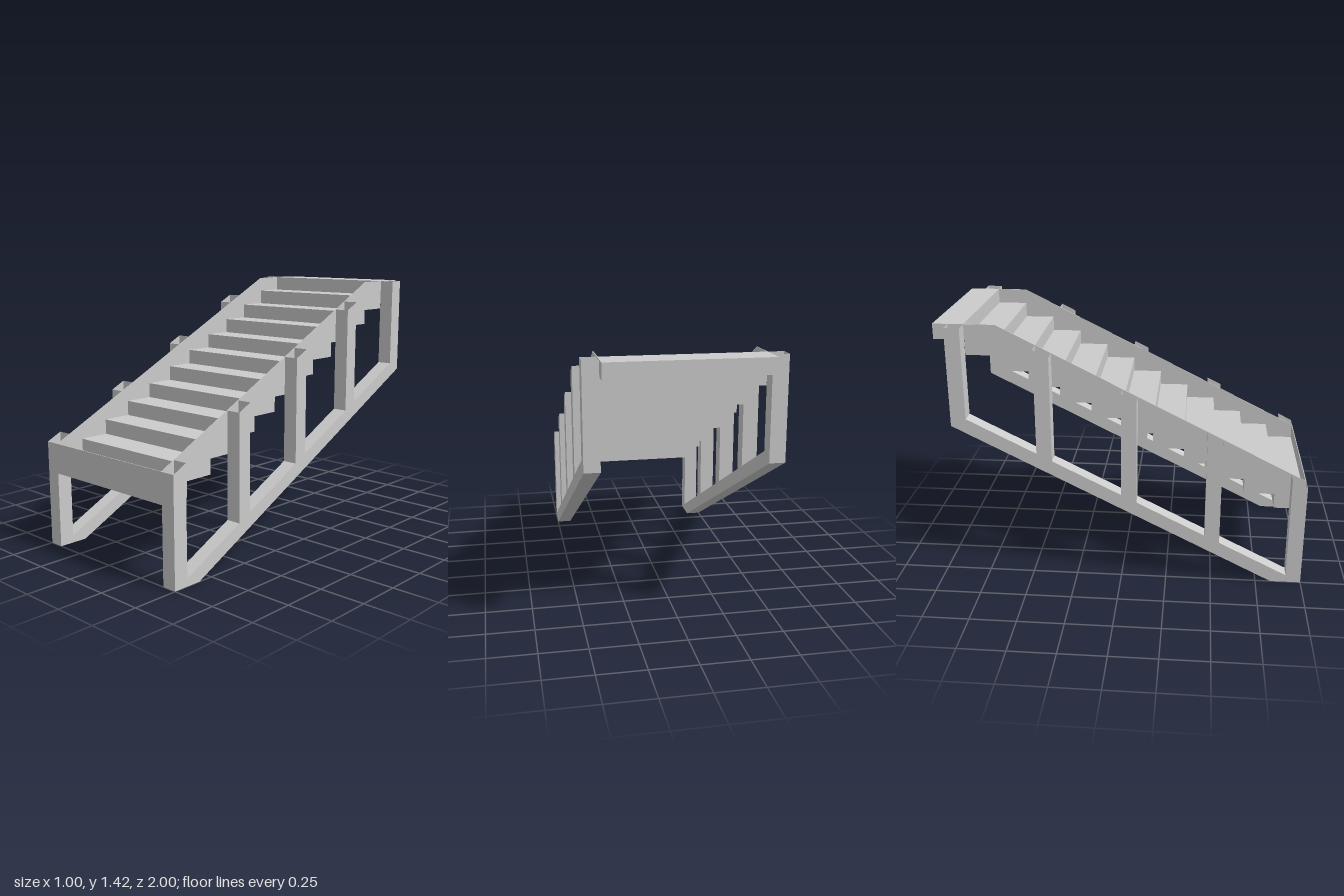
import * as THREE from 'three';

const STEPS = 12;
const RUN = 2 / STEPS;        // depth of one step
const RISE = RUN / 2;         // height of one step
const BASE = 0.417;           // underside of the lowest step
const TOP = 1.417;            // height of the highest step
const HALF = 0.417;           // half width of the stairs
const BEAM = 0.083;           // thickness of posts and rails
const PLATE = 0.004;          // thickness of the side and front plates

const material = new THREE.MeshStandardMaterial({ color: 0xcccccc, flatShading: true });
const openMaterial = material.clone();
openMaterial.side = THREE.DoubleSide;

// Extrudes a side profile of [z, y] points across x, from x0 over a width
function sidePrism(name, points, x0, width) {
  const shape = new THREE.Shape(points.map(([z, y]) => new THREE.Vector2(-z, y)));
  const geometry = new THREE.ExtrudeGeometry(shape, { depth: width, bevelEnabled: false });
  geometry.rotateY(Math.PI / 2).translate(x0, 0, 0);
  const mesh = new THREE.Mesh(geometry, material);
  mesh.name = name;
  return mesh;
}

// Box across the stairs, from its front z and lower y
function crossBox(name, z, y, depth, height) {
  const geometry = new THREE.BoxGeometry(2 * (HALF - PLATE), height, depth);
  const mesh = new THREE.Mesh(geometry, material);
  mesh.position.set(0, y + height / 2, z - depth / 2);
  mesh.name = name;
  return mesh;
}

// Heights of the side plates' upper edge and of the bottom rail's upper edge
const plateY = (z) => Math.min(TOP, 1.083 - z / 2);
const railY = (z) => 0.5 - z / 2;

// Square tube, open at the top, cut to the slopes of the stairs and the rail
function openPost(x, z) {
  const geometry = new THREE.CylinderGeometry(
    BEAM / Math.SQRT2, BEAM / Math.SQRT2, 1, 4, 1, true, Math.PI / 4);
  geometry.translate(x, 0, z);
  const p = geometry.attributes.position;
  for (let i = 0; i < p.count; i++) {
    p.setY(i, p.getY(i) > 0 ? plateY(p.getZ(i)) : railY(p.getZ(i)));
  }
  const mesh = new THREE.Mesh(geometry, openMaterial);
  mesh.name = 'post';
  return mesh;
}

export function createModel() {
  const model = new THREE.Group();
  model.name = 'staircase';

  // Slab steps, sunk between the side plates
  const plate = [[1, plateY(1)], [-1 + 2 * RUN, TOP], [-1, TOP]];
  for (let i = STEPS - 1; i >= 0; i--) {
    const z = 1 - i * RUN;
    const y = BASE + i * RISE;
    model.add(crossBox('step', z, y, RUN, RISE));
    plate.push([z - RUN, y], [z, y]);
  }

  // Front plate, rising above the lowest step
  model.add(crossBox('frontPlate', 1, BASE + RISE, PLATE, RISE));

  // Thin side plates: sloping upper edge, stepped lower edge
  model.add(sidePrism('leftSidePlate', plate, HALF - PLATE, PLATE));
  model.add(sidePrism('rightSidePlate', plate, -HALF, PLATE));

  // Side frames: five posts on a sloping bottom rail
  const back = BEAM - 1;
  const rail = [
    [1, 0], [1 - 2 * BEAM, 0], [back, railY(back) - BEAM], [back, railY(back)],
  ];
  for (const [side, x0] of [['left', HALF], ['right', -HALF - BEAM]]) {
    const frame = new THREE.Group();
    frame.name = side + 'Frame';
    frame.add(sidePrism('bottomRail', rail, x0, BEAM));
    for (let i = 0; i < 5; i++) {
      const z = 1 - BEAM / 2 - i * (1 - BEAM) / 2;
      frame.add(openPost(x0 + BEAM / 2, z));
    }
    model.add(frame);
  }
  return model;
}
